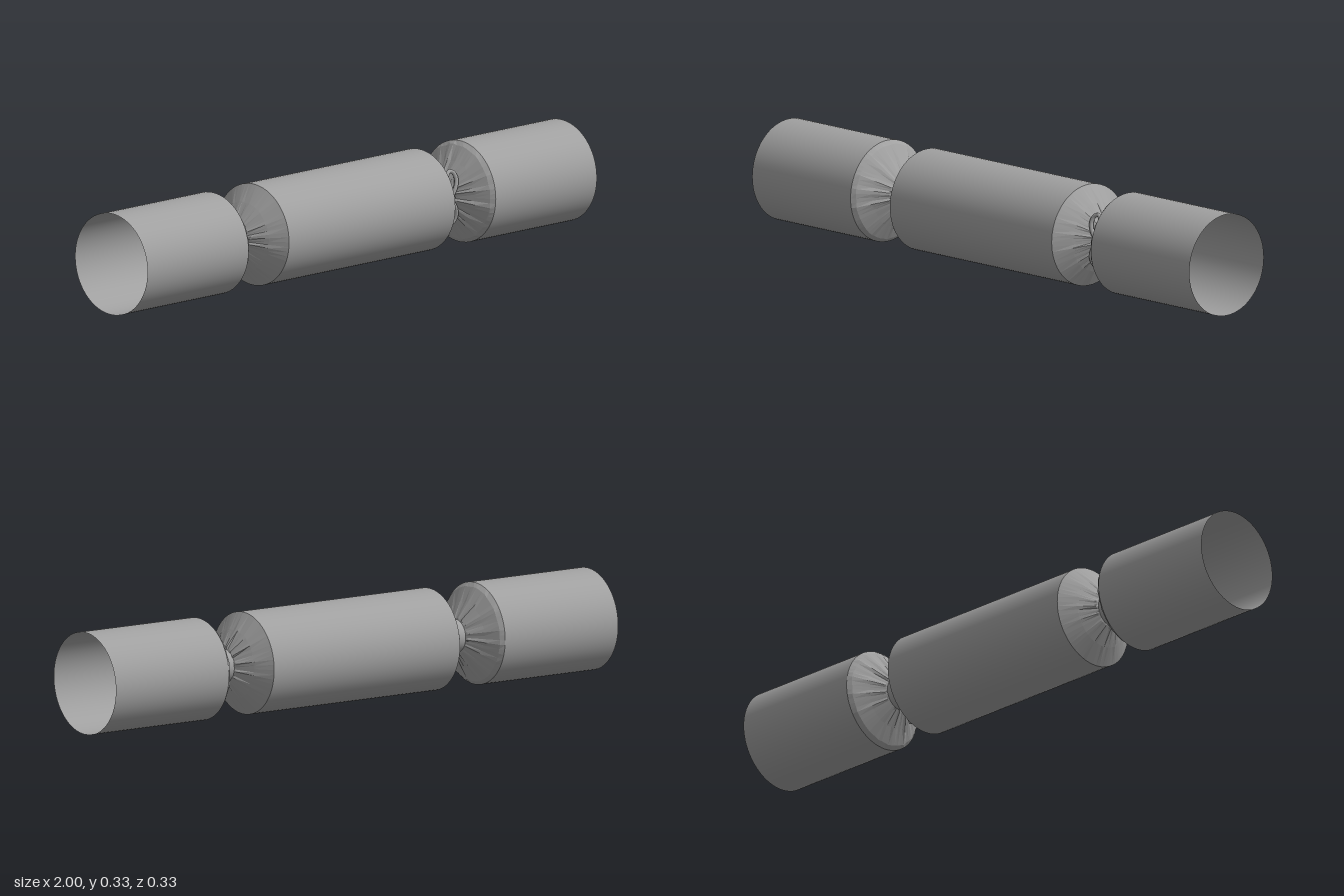
import * as THREE from 'three';

const R = 0.165; // tube radius, also height of the axis
const NECK = 0.46;
const SIDES = 64;

// Small seeded noise, 0..1
const noise = (i, seed) => {
  const s = Math.sin(i * 12.9898 + seed * 78.233) * 43758.5453;
  return s - Math.floor(s);
};

// Loft rings along x; each ring is [x, radius, pleat depth]
function pleatedLoft(rings, seed) {
  const pos = [], index = [], n = SIDES;
  rings.forEach(([x, r, depth]) => {
    for (let j = 0; j < n; j++) {
      const a = (j / n) * Math.PI * 2;
      const fold = (j % 4 < 2 ? 0.25 : 0.75) * noise(j, seed) + 0.25 * noise(j >> 2, seed + 3);
      const rr = r + depth * fold;
      pos.push(x, rr * Math.cos(a), rr * Math.sin(a));
    }
  });
  for (let i = 0; i < rings.length - 1; i++) {
    for (let j = 0; j < n; j++) {
      const a = i * n + j, b = i * n + (j + 1) % n;
      index.push(a, b, a + n, b, b + n, a + n);
    }
  }
  const g = new THREE.BufferGeometry();
  g.setAttribute('position', new THREE.Float32BufferAttribute(pos, 3));
  g.setIndex(index);
  const flat = g.toNonIndexed(); // crisp paper folds
  flat.computeVertexNormals();
  return flat;
}

export function createModel() {
  const model = new THREE.Group();
  model.name = 'partyCracker';
  const paper = new THREE.MeshStandardMaterial({ color: 0xa0a0a0, side: THREE.DoubleSide });
  paper.name = 'grey paper';

  const add = (name, geometry, x = 0, y = 0, z = 0) => {
    const mesh = new THREE.Mesh(geometry, paper);
    mesh.name = name;
    mesh.position.set(x, R + y, z);
    model.add(mesh);
    return mesh;
  };

  // Open tubes: long barrel and two end sleeves
  const tube = (name, x0, x1) => add(name,
    new THREE.CylinderGeometry(R, R, x1 - x0, SIDES, 1, true).rotateZ(Math.PI / 2), (x0 + x1) / 2);
  tube('barrel', -0.37, 0.37);
  tube('rightSleeve', -1, -0.55);
  tube('leftSleeve', 0.55, 1);

  // Pinched necks, from the barrel outwards
  const profile = [
    [0.37, R, 0], [0.408, 0.11, 0.006], [0.444, 0.052, 0.016], [0.448, 0.051, 0],
    [0.475, 0.051, 0], [0.479, 0.052, 0.016], [0.51, 0.103, 0.014],
    [0.537, 0.151, 0.006], [0.55, R, 0],
  ];
  add('leftPinch', pleatedLoft(profile, 1));
  add('rightPinch', pleatedLoft(profile.map(([x, r, d]) => [-x, r, d]).reverse(), 2));

  // Ribbon bands with softened edges
  const bandProfile = [[0.051, -0.018], [0.054, -0.016], [0.056, -0.008],
    [0.056, 0.008], [0.054, 0.016], [0.051, 0.018]].map(p => new THREE.Vector2(...p));
  for (const [name, x] of [['leftBand', NECK], ['rightBand', -NECK]]) {
    add(name, new THREE.LatheGeometry(bandProfile, 48).rotateZ(Math.PI / 2), x);
  }

  // Bow on the front of the left neck: two upright loops and a knot
  for (const s of [1, -1]) {
    const path = new THREE.CatmullRomCurve3([
      [0, 0.012, 0.058], [0.013, 0.032, 0.06], [0.02, 0.06, 0.056], [0.013, 0.08, 0.05],
      [0, 0.086, 0.047], [-0.013, 0.08, 0.05], [-0.02, 0.06, 0.056], [-0.013, 0.032, 0.06],
    ].map(([x, y, z]) => new THREE.Vector3(x, s * y, z)), true);
    add(s > 0 ? 'upperBowLoop' : 'lowerBowLoop', new THREE.TubeGeometry(path, 40, 0.007, 8, true), NECK);
  }
  add('bowKnot', new THREE.SphereGeometry(0.013, 16, 12).scale(1, 1.1, 0.7), NECK, 0, 0.057);

  return model;
}
